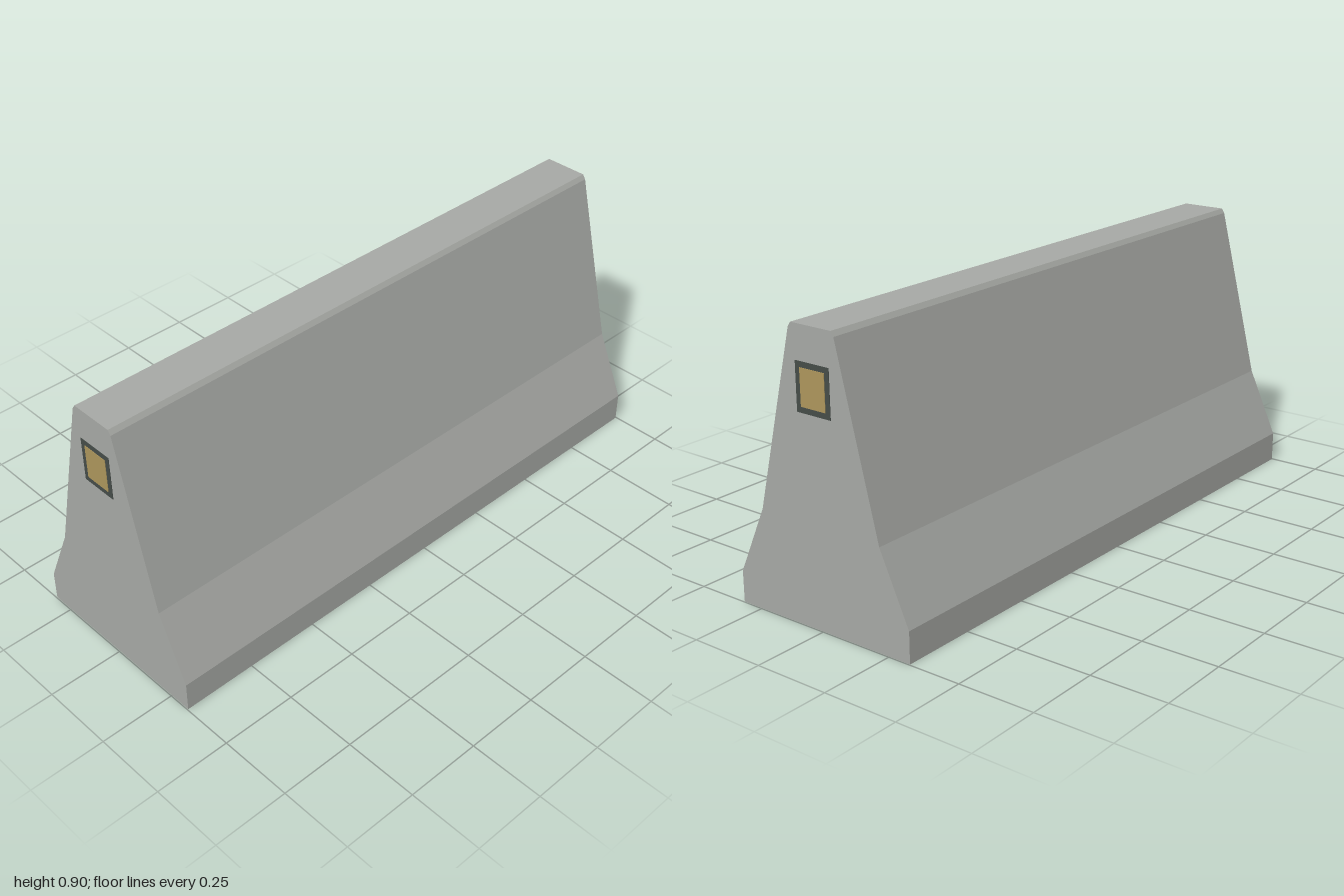
import * as THREE from 'three';

const concrete = new THREE.MeshStandardMaterial({ color: 0xa6a8a4 });
concrete.name = 'concrete grey';
const steel = new THREE.MeshStandardMaterial({ color: 0x454c48 });
steel.name = 'dark frame';
const amber = new THREE.MeshStandardMaterial({ color: 0xac955b });
amber.name = 'amber reflector';

const HALF_BODY = 0.997;

export function createModel() {
  const group = new THREE.Group();
  group.name = 'roadBarrier';

  function add(name, geometry, material) {
    const mesh = new THREE.Mesh(geometry, material);
    mesh.name = name;
    group.add(mesh);
    return mesh;
  }

  // Stepped barrier profile, one half mirrored, extruded along x
  const half = [[0.325, 0], [0.325, 0.1], [0.225, 0.32], [0.085, 0.885], [0.075, 0.9]];
  const mirrored = half.map(([z, y]) => [-z, y]).reverse();
  const profile = new THREE.Shape([...half, ...mirrored].map(([z, y]) => new THREE.Vector2(z, y)));
  const body = new THREE.ExtrudeGeometry(profile, { depth: HALF_BODY * 2, bevelEnabled: false });
  body.translate(0, 0, -HALF_BODY);
  body.rotateY(Math.PI / 2);
  add('concreteBody', body, concrete);

  // Framed reflector on each end face
  for (const [side, s] of [['left', 1], ['right', -1]]) {
    const frame = add(side + 'ReflectorFrame', new THREE.BoxGeometry(0.004, 0.148, 0.126), steel);
    frame.position.set(s * 0.9965, 0.721, 0);
    const plate = add(side + 'Reflector', new THREE.BoxGeometry(0.004, 0.113, 0.092), amber);
    plate.position.set(s * 0.998, 0.7215, 0);
  }

  return group;
}
